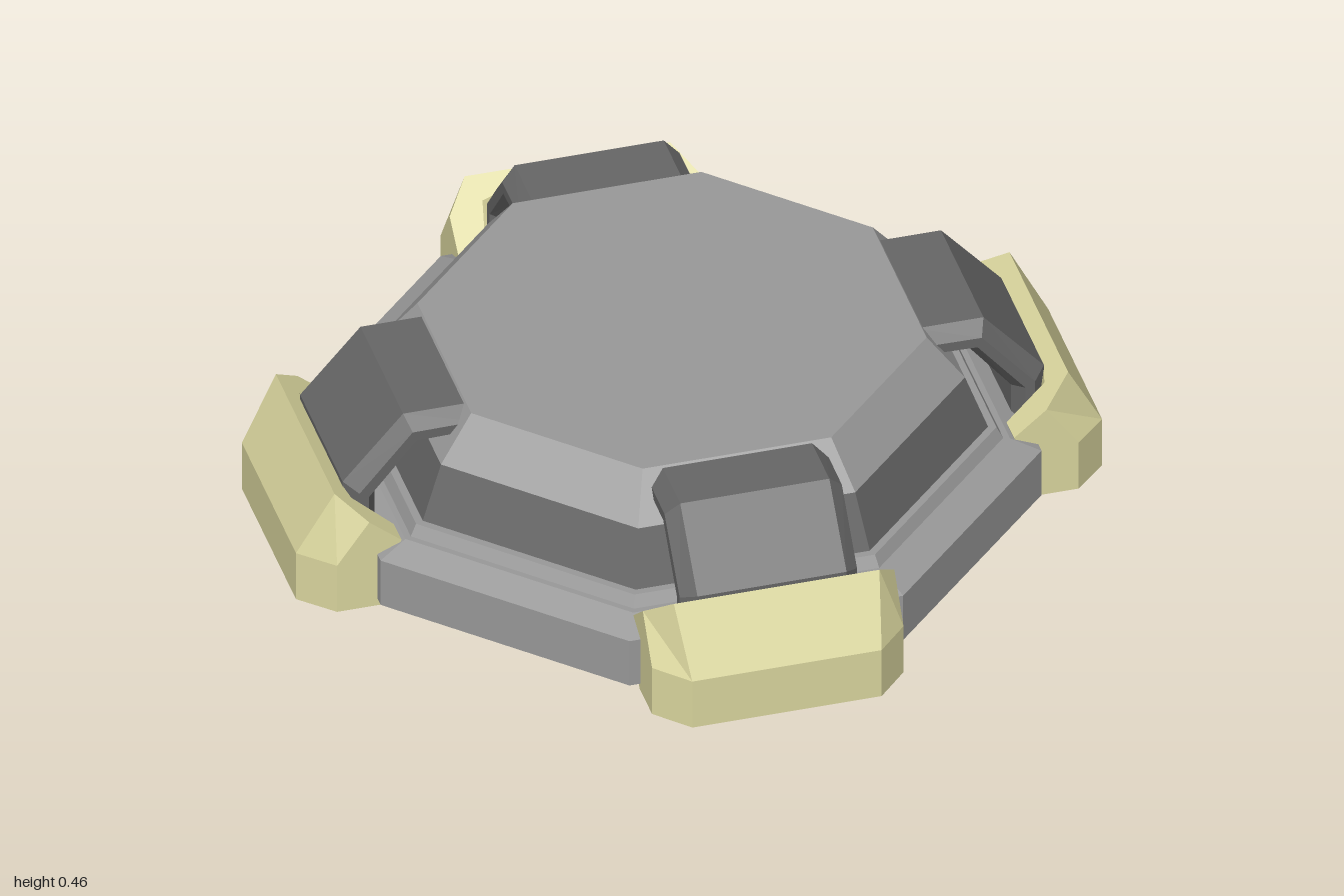
import * as THREE from 'three';

const material = (color) => new THREE.MeshStandardMaterial({ color, flatShading: true });

// Skin a row of closed cross-sections (counter-clockwise about the travel direction), with end caps
function loft(sections) {
  const pos = [];
  const tri = (a, b, c) => pos.push(...a, ...b, ...c);
  const n = sections[0].length;
  for (let i = 0; i < sections.length - 1; i++) {
    const s = sections[i], t = sections[i + 1];
    for (let j = 0; j < n; j++) {
      const k = (j + 1) % n;
      tri(s[j], s[k], t[k]);
      tri(s[j], t[k], t[j]);
    }
  }
  const first = sections[0], last = sections[sections.length - 1];
  for (let j = 1; j < n - 1; j++) {
    tri(first[0], first[j + 1], first[j]);
    tri(last[0], last[j], last[j + 1]);
  }
  const g = new THREE.BufferGeometry();
  g.setAttribute('position', new THREE.Float32BufferAttribute(pos, 3));
  g.computeVertexNormals();
  return g;
}

// Regular octagonal solid from [apothem, y] pairs, listed bottom to top
function octagon(profile) {
  const points = profile.map(([a, y]) => new THREE.Vector2(a / Math.cos(Math.PI / 8), y));
  const g = new THREE.LatheGeometry(points, 8, Math.PI / 8).toNonIndexed();
  g.computeVertexNormals();
  return g;
}

// Bent strut with chamfered edges, reaching from the cap down into the foot
function strutGeometry() {
  const path = [ // outer z, y, inner z, y
    [0.55, 0.455, 0.55, 0.375],
    [0.72, 0.455, 0.685, 0.37],
    [0.87, 0.285, 0.79, 0.24],
    [0.87, 0.1, 0.79, 0.1],
  ];
  const across = [ // x, fraction from inner to outer
    [-0.18, 0], [0.18, 0], [0.22, 0.3], [0.22, 0.6],
    [0.185, 1], [-0.185, 1], [-0.22, 0.6], [-0.22, 0.3],
  ];
  return loft(path.map(([oz, oy, iz, iy]) =>
    across.map(([x, t]) => [x, iy + (oy - iy) * t, iz + (oz - iz) * t])));
}

// U-shaped armoured foot wrapping the outside of the strut
function footGeometry() {
  const topY = (z) => 0.305 - 0.833 * (0.91 - z);
  const station = (x, zLow, zMid, xTop, zTop, xIn, zIn, zInLow) => [
    [xIn, 0, zInLow], [x, 0, zLow], [x, 0.135, zMid],
    [xTop, topY(zTop), zTop], [xIn, topY(zIn), zIn],
  ];
  const half = [
    station(0.312, 0.81, 0.775, 0.312, 0.76, 0.245, 0.76, 0.81),
    station(0.312, 0.92, 0.92, 0.312, 0.84, 0.225, 0.86, 0.815),
    station(0.235, 1, 1, 0.255, 0.91, 0.18, 0.87, 0.815),
  ];
  const mirrored = half.map((s) => s.map(([x, y, z]) => [-x, y, z])).reverse();
  return loft([...half, ...mirrored]);
}

export function createModel() {
  const model = new THREE.Group();
  model.name = 'octagonalPlatform';
  const plate = material(0x999999);
  const dark = material(0x666666);
  const armour = material(0xdad69e);

  const add = (parent, name, geometry, mat) => {
    const mesh = new THREE.Mesh(geometry, mat);
    mesh.name = name;
    parent.add(mesh);
  };

  // Stepped base, recessed wall and bevelled top
  add(model, 'base', octagon([
    [0, 0.02], [0.82, 0.02], [0.82, 0.15], [0.75, 0.18],
    [0.735, 0.18], [0.72, 0.21], [0.68, 0.21],
  ]), plate);
  add(model, 'wall', octagon([[0.705, 0.2], [0.65, 0.35]]), dark);
  add(model, 'topCap', octagon([[0.65, 0.35], [0.565, 0.46], [0, 0.46]]), plate);

  // A strut and foot on each of the four sides
  const strut = strutGeometry(), foot = footGeometry();
  ['front', 'left', 'back', 'right'].forEach((side, i) => {
    const leg = new THREE.Group();
    leg.name = side + 'Leg';
    add(leg, side + 'Strut', strut, dark);
    add(leg, side + 'Foot', foot, armour);
    leg.rotation.y = i * Math.PI / 2;
    model.add(leg);
  });
  return model;
}
